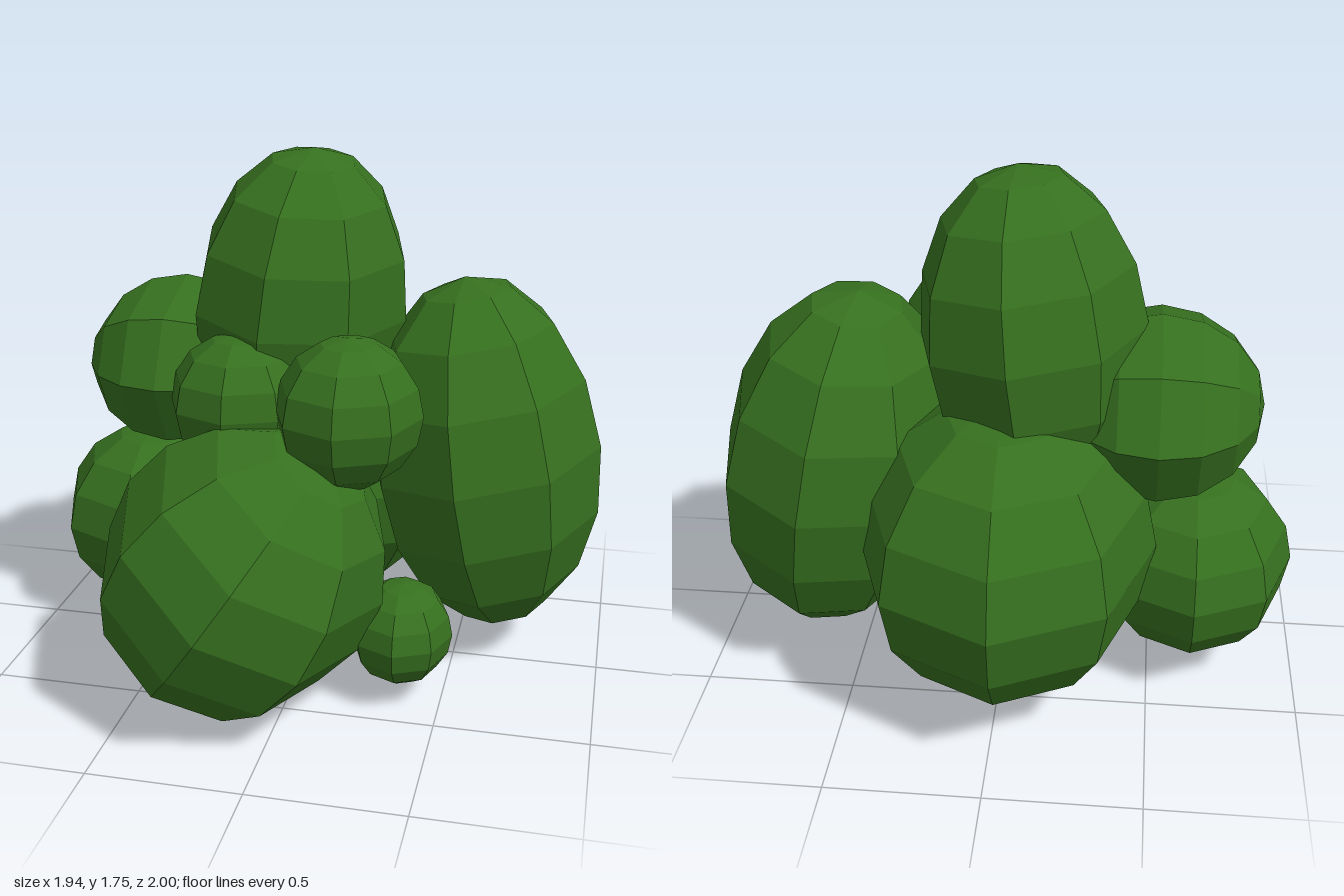
import * as THREE from 'three';

// One faceted ellipsoid clump of foliage
function clump(name, material, { at, radii, turn = [0, 0, 0] }) {
  const mesh = new THREE.Mesh(new THREE.SphereGeometry(1, 8, 8), material);
  mesh.name = name;
  mesh.position.set(...at);
  mesh.scale.set(...radii);
  mesh.rotation.set(...turn);
  return mesh;
}

export function createModel() {
  const group = new THREE.Group();
  group.name = 'bush';
  const leaf = new THREE.MeshStandardMaterial({ color: 0x36701f, flatShading: true });

  const clumps = {
    // Large clumps
    topClump: { at: [-0.085, 1.22, -0.16], radii: [0.375, 0.54, 0.45], turn: [0.07, -0.1, -0.1] },
    leftClump: { at: [0.57, 0.72, -0.155], radii: [0.4, 0.62, 0.485], turn: [0, -0.1, 0.15] },
    frontClump: { at: [-0.145, 0.475, 0.425], radii: [0.465, 0.485, 0.57], turn: [0, 0, -0.6] },
    backClump: { at: [-0.02, 0.585, -0.42], radii: [0.49, 0.5, 0.58] },
    // Medium clumps on the right; the upper one lies on its side
    upperRightClump: { at: [-0.5, 0.985, -0.165], radii: [0.305, 0.34, 0.4], turn: [0, 0, Math.PI / 2] },
    lowerRightClump: { at: [-0.64, 0.4, -0.16], radii: [0.335, 0.32, 0.385] },
    // Small clumps filling the front
    middleSmallClump: { at: [-0.21, 0.96, 0.2], radii: [0.24, 0.235, 0.24] },
    upperSmallClump: { at: [0.18, 0.995, 0.33], radii: [0.24, 0.245, 0.268] },
    lowerSmallClump: { at: [0.36, 0.237, 0.31], radii: [0.17, 0.173, 0.195] },
  };
  for (const [name, spec] of Object.entries(clumps)) group.add(clump(name, leaf, spec));
  return group;
}
